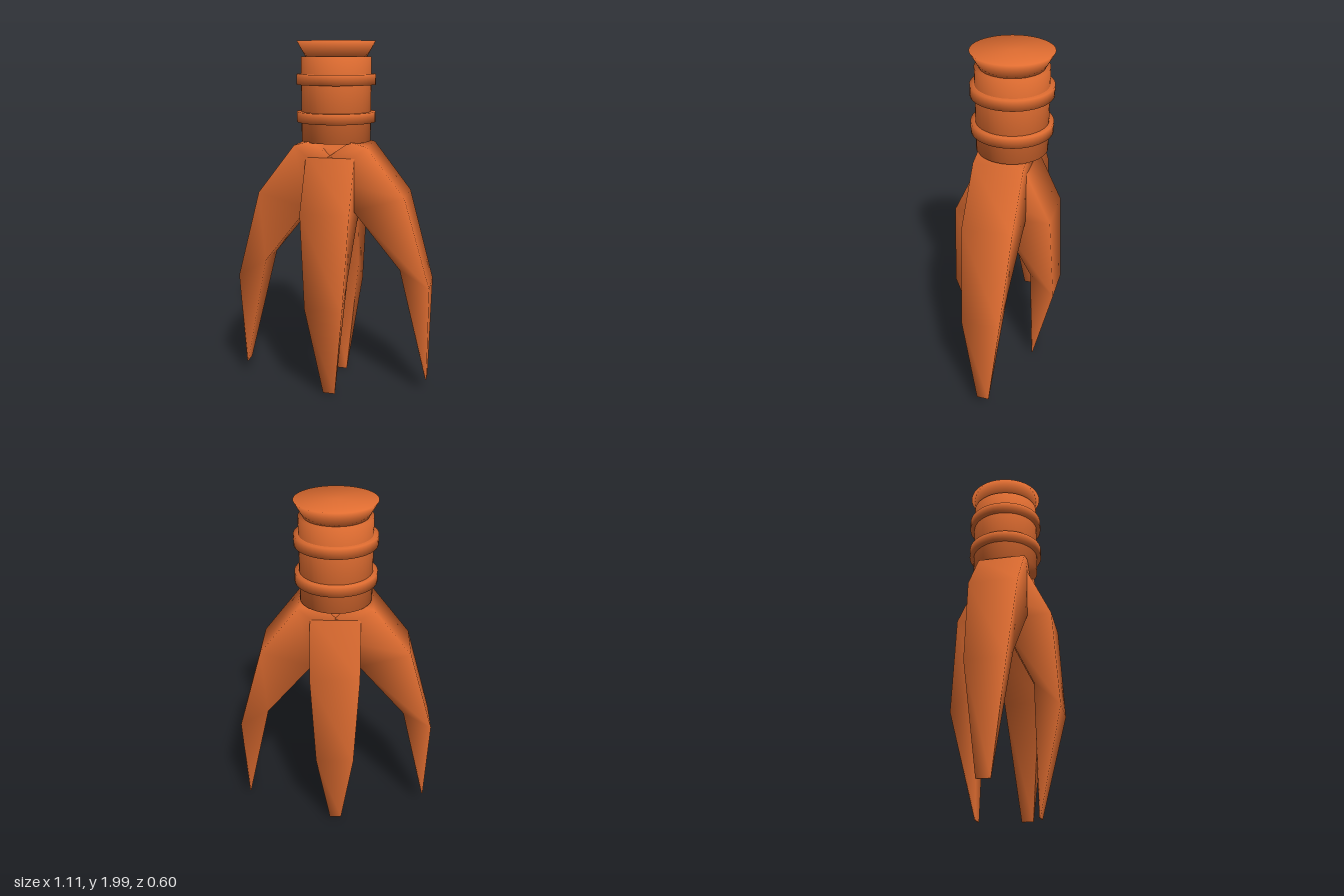
import * as THREE from 'three';

const orange = new THREE.MeshStandardMaterial({ color: 0xe06d31 });
orange.name = 'orange';

// Claw sections from root to tip: outer [x, y], inner [x, y], half width
const SECTIONS = [
  [0.11, 1.475, -0.02, 1.385, 0.135],
  [0.20, 1.45, -0.01, 1.27, 0.135],
  [0.41, 1.18, 0.13, 1.10, 0.135],
  [0.556, 0.67, 0.39, 0.77, 0.106],
  [0.552, 0.09, 0.545, 0.09, 0.035],
];

// Smooth four-sided loft through the sections; tilt swings the claw inward about its shoulder
function clawGeometry(tilt, dx, dy) {
  const pivot = new THREE.Vector2(0.41, 1.18);
  const positions = [];
  const index = [];
  for (const [ox, oy, ix, iy, w] of SECTIONS) {
    const [o, i] = [[ox, oy], [ix, iy]].map(([x, y]) =>
      new THREE.Vector2(x, y).rotateAround(pivot, -tilt));
    positions.push(
      o.x + dx, o.y + dy, -w, o.x + dx, o.y + dy, w,
      i.x + dx, i.y + dy, w, i.x + dx, i.y + dy, -w);
  }
  for (let s = 0; s < SECTIONS.length - 1; s++) {
    for (let k = 0; k < 4; k++) {
      const a = s * 4 + k, b = s * 4 + (k + 1) % 4;
      index.push(b, b + 4, a + 4, b, a + 4, a);
    }
  }
  const e = (SECTIONS.length - 1) * 4;
  index.push(0, 2, 1, 0, 3, 2, e, e + 1, e + 2, e, e + 2, e + 3);
  const g = new THREE.BufferGeometry();
  g.setAttribute('position', new THREE.Float32BufferAttribute(positions, 3));
  g.setIndex(index);
  g.computeVertexNormals();
  return g;
}

export function createModel() {
  const model = new THREE.Group();
  model.name = 'grabberClaw';

  const add = (name, geometry, parent = model) => {
    const mesh = new THREE.Mesh(geometry, orange);
    mesh.name = name;
    parent.add(mesh);
    return mesh;
  };
  const lathe = (points) =>
    new THREE.LatheGeometry(points.map(([r, y]) => new THREE.Vector2(r, y)), 48);

  // Neck: shaft, two collars and a flared cap
  const neck = new THREE.Group();
  neck.name = 'neck';
  neck.position.z = -0.02;
  model.add(neck);
  add('shaft', lathe([[0, 1.465], [0.192, 1.465], [0.192, 1.918], [0, 1.918]]), neck);
  for (const y of [1.597, 1.798]) {
    add('collar', lathe([[0.18, y - 0.028], [0.217, y - 0.028], [0.217, y + 0.028], [0.18, y + 0.028]]), neck);
  }
  add('flaredCap', lathe([[0, 1.91], [0.163, 1.91], [0.214, 2], [0, 2]]), neck);

  // Wide claws on the sides, steeper ones at front and back
  const wide = clawGeometry(0, 0, 0);
  const steep = clawGeometry(0.22, -0.14, -0.08);
  add('leftClaw', wide);
  add('rightClaw', wide).rotation.y = Math.PI;
  add('frontClaw', steep).rotation.y = -Math.PI / 2;
  add('backClaw', steep).rotation.y = Math.PI / 2;

  return model;
}
